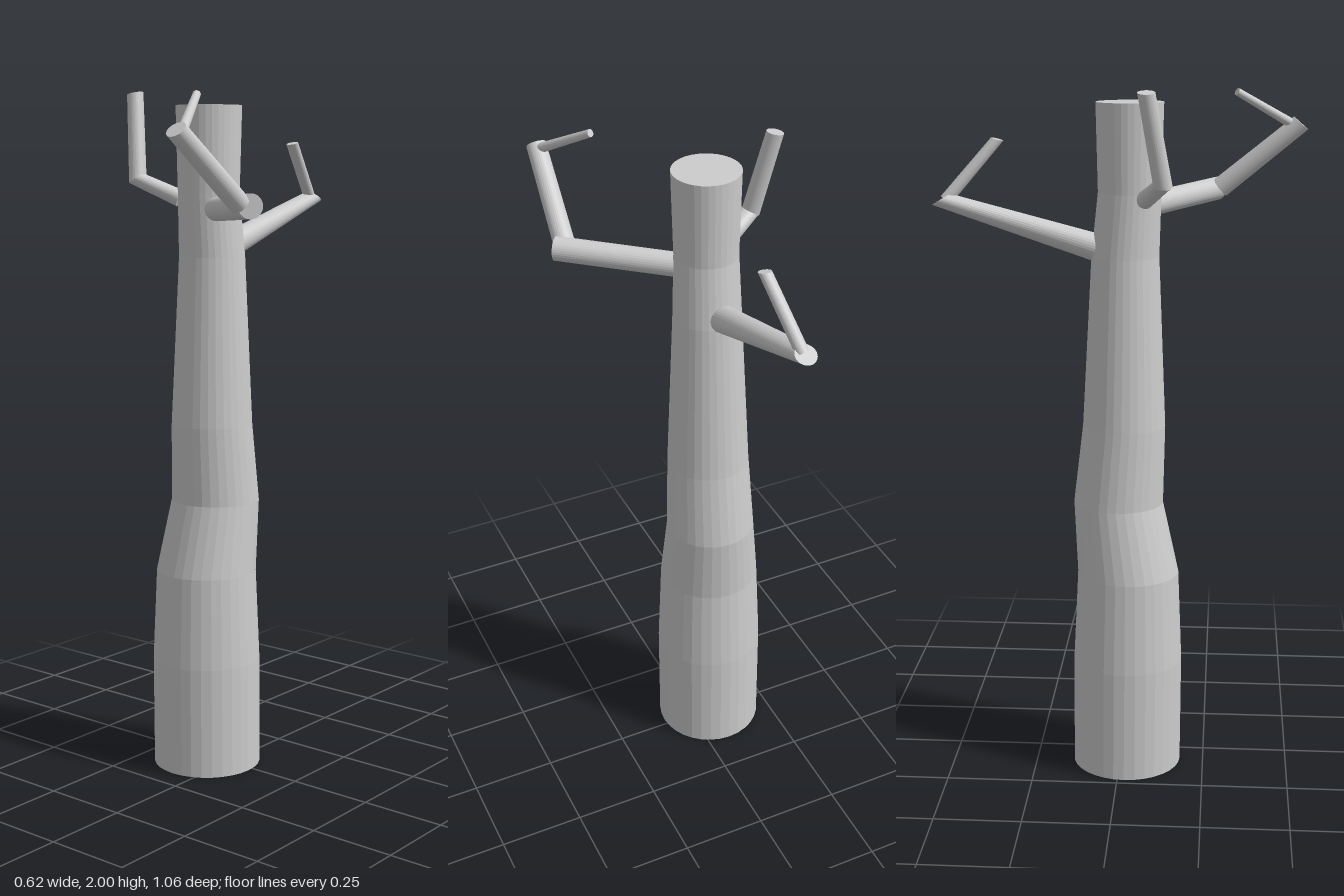
import * as THREE from 'three';

const SIDES = 32;
const V = (a) => new THREE.Vector3(...a);

// Closed loft through circular sections [centre, radius, facing], flat-faceted
function loft(name, sections, material) {
  const first = V(sections[0][0]);
  const axis = V(sections[sections.length - 1][0]).sub(first).normalize();
  const ref = Math.abs(axis.y) > 0.9 ? new THREE.Vector3(1, 0, 0) : new THREE.Vector3(0, 1, 0);
  const side = new THREE.Vector3().crossVectors(ref, axis).normalize();
  const pos = [];
  const index = [];
  for (const [centre, radius, facing] of sections) {
    const n = facing ? V(facing).normalize() : axis;
    const u = side.clone().addScaledVector(n, -side.dot(n)).normalize();
    const v = new THREE.Vector3().crossVectors(n, u);
    for (let i = 0; i < SIDES; i++) {
      const t = (i / SIDES) * Math.PI * 2;
      const p = V(centre).addScaledVector(u, radius * Math.cos(t)).addScaledVector(v, radius * Math.sin(t));
      pos.push(p.x, p.y, p.z);
    }
  }
  const last = (sections.length - 1) * SIDES;
  for (let k = 0; k < last; k += SIDES) {
    for (let i = 0; i < SIDES; i++) {
      const j = (i + 1) % SIDES;
      index.push(k + i, k + j, k + SIDES + j, k + i, k + SIDES + j, k + SIDES + i);
    }
  }
  // end caps
  for (let i = 1; i < SIDES - 1; i++) {
    index.push(0, i + 1, i, last, last + i, last + i + 1);
  }
  const indexed = new THREE.BufferGeometry();
  indexed.setAttribute('position', new THREE.Float32BufferAttribute(pos, 3));
  indexed.setIndex(index);
  const geometry = indexed.toNonIndexed();
  geometry.computeVertexNormals();
  const mesh = new THREE.Mesh(geometry, material);
  mesh.name = name;
  return mesh;
}

export function createModel() {
  const tree = new THREE.Group();
  tree.name = 'bareTree';
  const bark = new THREE.MeshStandardMaterial({ color: 0xcccccc });
  bark.name = 'greyBark';

  // Trunk: x, y, z, radius of each level ring
  const rings = [
    [-0.07, 0, 0.02, 0.16],
    [-0.07, 0.33, 0.022, 0.16],
    [-0.069, 0.6, 0.023, 0.148],
    [-0.058, 0.81, -0.006, 0.13],
    [-0.057, 1.04, 0.01, 0.119],
    [-0.053, 1.53, 0.013, 0.096],
    [-0.055, 1.71, 0.025, 0.089],
    [-0.054, 1.957, 0.025, 0.095],
  ];
  tree.add(loft('trunk', rings.map(([x, y, z, r]) => [[x, y, z], r, [0, 1, 0]]), bark));

  // Branches: name, start section, end section
  const limbs = [
    // back
    ['backBranch', [[-0.06, 1.555, -0.07], 0.039], [[-0.075, 1.688, -0.503], 0.03, [0, 0.86, -0.51]]],
    ['backTwig', [[-0.073, 1.685, -0.49], 0.018], [[-0.036, 1.852, -0.347], 0.018, [0, 0.97, 0.24]]],
    // left front
    ['leftBranch', [[0.012, 1.667, 0.073], 0.034], [[0.288, 1.685, 0.266], 0.034, [0.79, 0, 0.61]]],
    ['leftUpperBranch', [[0.258, 1.69, 0.275], 0.03], [[0.24, 1.881, 0.508], 0.028, [0, 0.75, 0.66]]],
    ['leftTwig', [[0.238, 1.88, 0.48], 0.014], [[0.15, 1.975, 0.32], 0.011]],
    // right
    ['rightBranch', [[-0.125, 1.695, 0.07], 0.025], [[-0.238, 1.75, 0.125], 0.026, [-0.5, 0.85, 0.15]]],
    ['rightUpperBranch', [[-0.238, 1.745, 0.125], 0.026, [-0.3, 0.95, 0]], [[-0.284, 1.993, 0.082], 0.024, [-0.2, 0.98, 0]]],
  ];
  for (const [name, start, end] of limbs) tree.add(loft(name, [start, end], bark));

  return tree;
}
